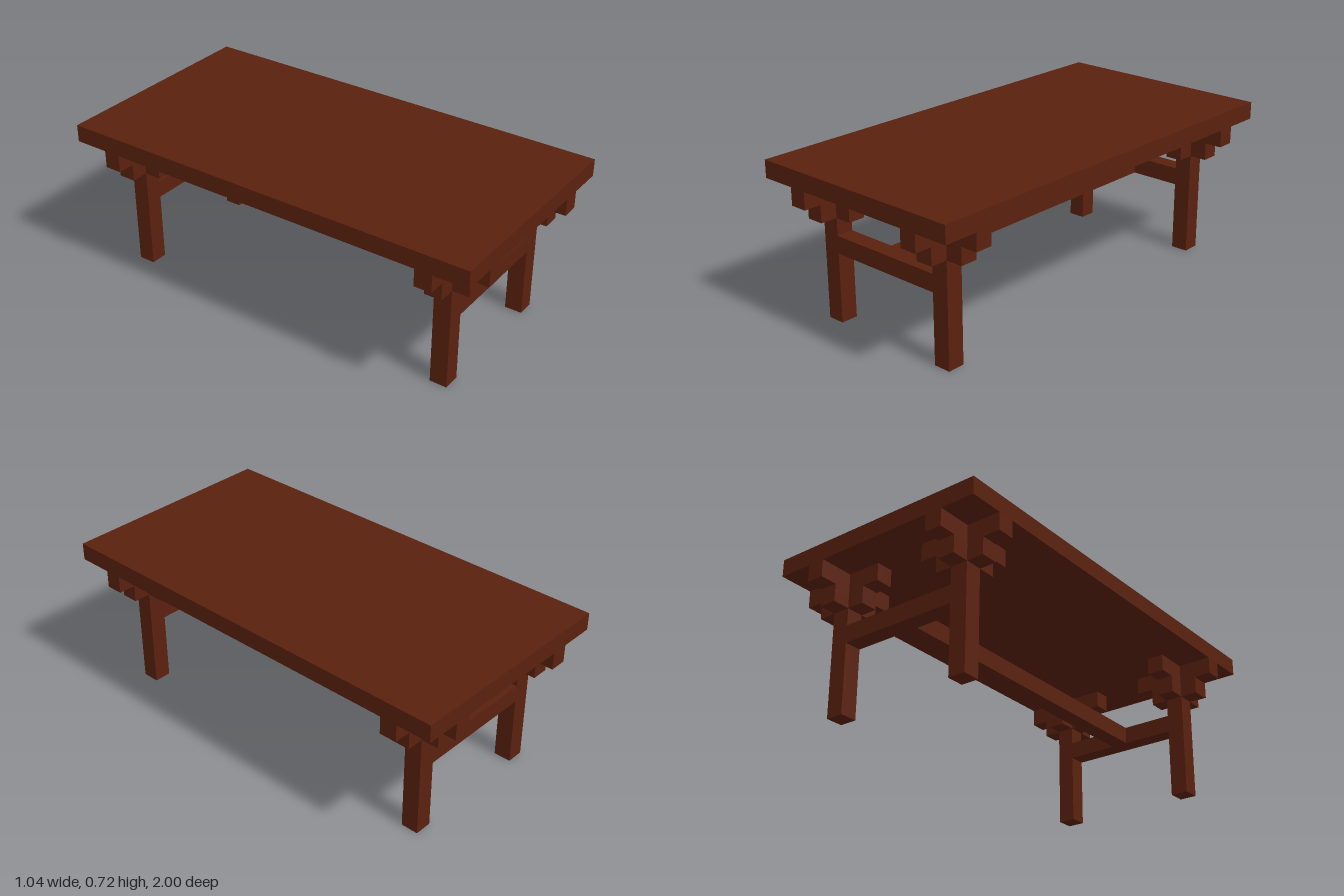
import * as THREE from 'three';

export function createModel() {
  const model = new THREE.Group();
  model.name = 'table';
  const wood = new THREE.MeshStandardMaterial({ color: 0x5a210e });
  wood.name = 'dark brown wood';

  const U = 0.08; // thickness of every beam

  // Box by size and centre
  function beam(name, parent, w, h, d, x, y, z) {
    const mesh = new THREE.Mesh(new THREE.BoxGeometry(w, h, d), wood);
    mesh.name = name;
    mesh.position.set(x, y, z);
    parent.add(mesh);
  }

  // Table top
  beam('tabletop', model, 1.04, U, 2, 0, 0.68, 0);

  // Four legs, each with stepped brackets on all four sides
  for (const x of [-0.32, 0.32]) {
    for (const z of [-0.8, 0.8]) {
      const corner = new THREE.Group();
      corner.name = 'legWithBrackets';
      corner.position.set(x, 0, z);
      model.add(corner);
      beam('leg', corner, U, 0.64, U, 0, 0.32, 0);
      for (const [length, y] of [[0.16, 0.6], [0.08, 0.52]]) {
        const offset = U / 2 + length / 2;
        for (const s of [-1, 1]) {
          beam('bracketAcross', corner, length, U, U, s * offset, y, 0);
          beam('bracketAlong', corner, U, U, length, 0, y, s * offset);
        }
      }
    }
  }

  // Rails joining each pair of legs, and the central stretcher
  for (const z of [-0.8, 0.8]) beam('endRail', model, 0.56, U, U, 0, 0.36, z);
  beam('centreStretcher', model, U, U, 1.52, 0, 0.36, 0);

  return model;
}
